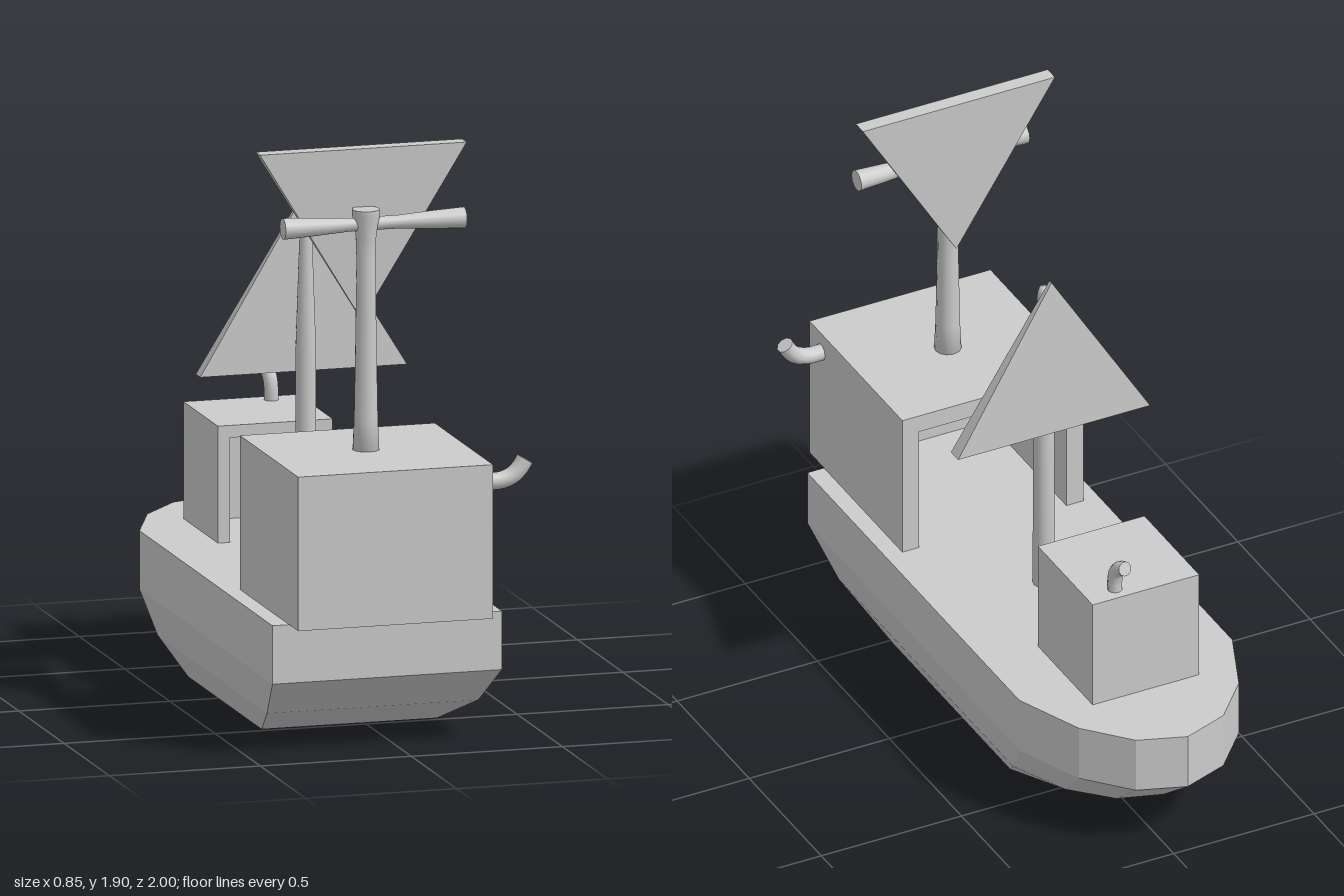
import * as THREE from 'three';

const CX = -0.05; // centreline of the boat
const flat = new THREE.MeshStandardMaterial({ color: 0xcccccc, flatShading: true });
const smooth = new THREE.MeshStandardMaterial({ color: 0xcccccc });

function add(parent, name, geometry, material, x = 0, y = 0, z = 0) {
  const mesh = new THREE.Mesh(geometry, material);
  mesh.name = name;
  mesh.position.set(x, y, z);
  parent.add(mesh);
  return mesh;
}

// Skin a stack of closed rings (bottom to top, anticlockwise from above) and cap both ends
function loft(rings) {
  const n = rings[0].length, index = [];
  for (let r = 0; r < rings.length - 1; r++) {
    for (let i = 0; i < n; i++) {
      const j = (i + 1) % n, a = r * n, b = a + n;
      index.push(a + i, a + j, b + j, a + i, b + j, b + i);
    }
  }
  const top = (rings.length - 1) * n;
  for (let i = 1; i < n - 1; i++) {
    index.push(0, i + 1, i);
    index.push(top, top + i, top + i + 1);
  }
  const g = new THREE.BufferGeometry();
  g.setAttribute('position', new THREE.Float32BufferAttribute(rings.flat(2), 3));
  g.setIndex(index);
  const out = g.toNonIndexed();
  out.computeVertexNormals();
  return out;
}

// Hull outline at one height: flat stern, straight sides, faceted round bow
function hullRing(y, half, stern, shoulder, bow) {
  const L = bow - shoulder;
  const side = [[half, stern], [half, shoulder], [half * 0.75, shoulder + L * 0.535], [half * 0.41, shoulder + L * 0.87]];
  const mirrored = side.map(([x, z]) => [-x, z]).reverse();
  return [...side, [0, bow], ...mirrored].map(([x, z]) => [CX + x, y, z]);
}

// Box cabin with one open end; dir is the z direction of the opening
function cabin(name, x, z, w, h, d, wall, back, dir) {
  const g = new THREE.Group();
  g.name = name;
  g.position.set(x, 0.43, z);
  const inner = h - wall;
  add(g, 'roof', new THREE.BoxGeometry(w, wall, d), flat, 0, h - wall / 2, 0);
  for (const s of [-1, 1]) {
    add(g, 'sideWall', new THREE.BoxGeometry(wall, inner, d), flat, s * (w - wall) / 2, inner / 2, 0);
  }
  add(g, 'endWall', new THREE.BoxGeometry(w - 2 * wall, inner, back), flat, 0, inner / 2, -dir * (d - back) / 2);
  return g;
}

// Turned pole from [radius, height] pairs
function pole(profile) {
  return new THREE.LatheGeometry(profile.map(([r, y]) => new THREE.Vector2(r, y)), 12);
}

// Triangular sail, thick along its straight edge and thin at the tip
function sail(edgeY, tipY, z) {
  const hw = 0.3425, e = 0.025, t = 0.007;
  const edge = [[CX - hw, edgeY, z + e], [CX + hw, edgeY, z + e], [CX + hw, edgeY, z - e], [CX - hw, edgeY, z - e]];
  const tip = [[CX, tipY, z + t], [CX, tipY, z + t], [CX, tipY, z - t], [CX, tipY, z - t]];
  return loft(edgeY < tipY ? [edge, tip] : [tip, edge]);
}

// Bent pipe with a closed mouth
function pipe(name, points, radius) {
  const g = new THREE.Group();
  g.name = name;
  const curve = new THREE.CatmullRomCurve3(points.map((p) => new THREE.Vector3(...p)));
  add(g, 'bentTube', new THREE.TubeGeometry(curve, 12, radius, 10), smooth);
  const end = curve.getPoint(1);
  const mouth = add(g, 'mouth', new THREE.CircleGeometry(radius, 10), smooth, end.x, end.y, end.z);
  mouth.lookAt(end.clone().add(curve.getTangent(1)));
  return g;
}

export function createModel() {
  const boat = new THREE.Group();
  boat.name = 'boat';

  add(boat, 'hull', loft([
    hullRing(0, 0.29, 0.48, -0.33, -0.57),
    hullRing(0.11, 0.35, 0.74, -0.47, -0.83),
    hullRing(0.24, 0.38, 0.9, -0.57, -1),
    hullRing(0.43, 0.38, 0.9, -0.57, -1),
  ]), flat);

  // Cabins open towards the middle of the deck
  boat.add(cabin('largeCabin', -0.052, 0.678, 0.645, 0.5, 0.644, 0.06, 0.1, -1));
  boat.add(cabin('smallCabin', -0.055, -0.51, 0.38, 0.38, 0.38, 0.04, 0.04, 1));

  // Mast with a crossbar on the large cabin
  add(boat, 'cabinMast', pole([
    [0, 0.92], [0.044, 0.92], [0.039, 1.03], [0.035, 1.25], [0.031, 1.55], [0.034, 1.63], [0.045, 1.69], [0.045, 1.71], [0.045, 1.71], [0, 1.71],
  ]), smooth, CX, 0, 0.665);
  const bar = add(boat, 'crossbar', pole([
    [0, -0.3], [0.035, -0.3], [0.035, -0.3], [0.03, -0.2], [0.022, -0.08], [0.022, 0.08], [0.03, 0.2], [0.035, 0.3], [0.035, 0.3], [0, 0.3],
  ]), smooth, -0.025, 1.662, 0.665);
  bar.rotation.z = Math.PI / 2;

  // Tapered mast amidships
  add(boat, 'deckMast', pole([
    [0, 0.42], [0.035, 0.42], [0.034, 0.8], [0.034, 1.1], [0.029, 1.25], [0.022, 1.45], [0.02, 1.53], [0.013, 1.553], [0, 1.556],
  ]), smooth, CX, 0, 0);

  add(boat, 'upperSail', sail(1.9, 1.34, 0.612), flat);
  add(boat, 'lowerSail', sail(1.04, 1.6, -0.048), flat);

  boat.add(pipe('sidePipe', [[0.25, 0.86, 0.92], [0.32, 0.86, 0.92], [0.36, 0.875, 0.92], [0.385, 0.9, 0.92], [0.4, 0.925, 0.92]], 0.028));
  boat.add(pipe('roofPipe', [[0.03, 0.79, -0.65], [0.03, 0.85, -0.65], [0.028, 0.885, -0.66], [0.023, 0.905, -0.68], [0.02, 0.912, -0.7]], 0.024));

  return boat;
}
